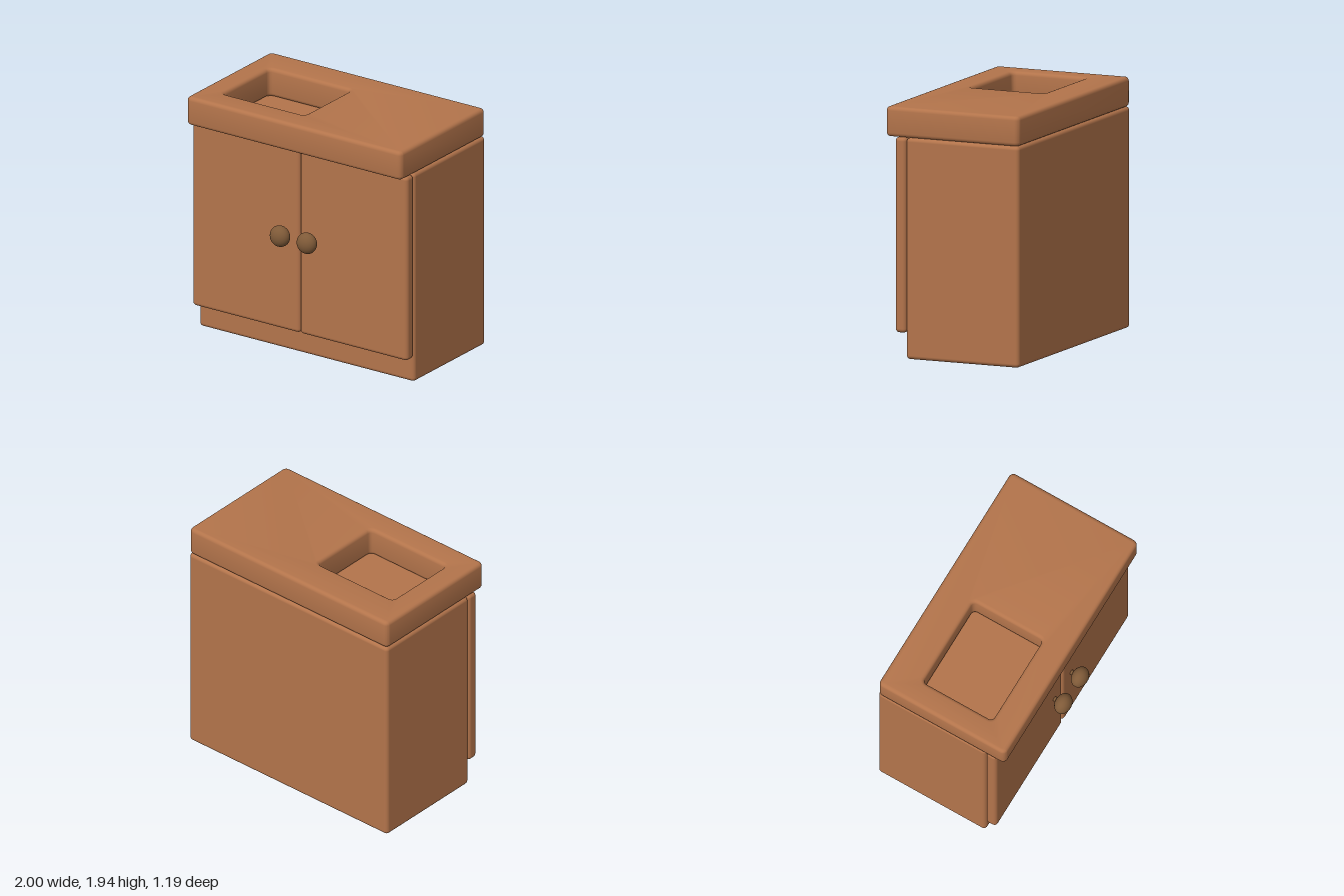
import * as THREE from 'three';
import { toCreasedNormals } from 'three/addons/utils/BufferGeometryUtils.js';
import { RoundedBoxGeometry } from 'three/addons/geometries/RoundedBoxGeometry.js';

const EDGE = 0.03; // radius of every softened edge

// Rounded rectangle outline
function roundedRect(path, x0, y0, x1, y1, r) {
  path.moveTo(x0 + r, y0);
  path.lineTo(x1 - r, y0);
  path.absarc(x1 - r, y0 + r, r, -Math.PI / 2, 0);
  path.lineTo(x1, y1 - r);
  path.absarc(x1 - r, y1 - r, r, 0, Math.PI / 2);
  path.lineTo(x0 + r, y1);
  path.absarc(x0 + r, y1 - r, r, Math.PI / 2, Math.PI);
  path.lineTo(x0, y0 + r);
  path.absarc(x0 + r, y0 + r, r, Math.PI, Math.PI * 1.5);
  return path;
}

export function createModel() {
  const wood = new THREE.MeshStandardMaterial({ color: 0xb3744b });
  wood.name = 'warm wood';
  const darkWood = new THREE.MeshStandardMaterial({ color: 0x7f5a38 });
  darkWood.name = 'dark wood';

  const model = new THREE.Group();
  model.name = 'sinkCabinet';

  function add(name, geometry, material, x, y, z, parent = model) {
    const mesh = new THREE.Mesh(geometry, material);
    mesh.name = name;
    mesh.position.set(x, y, z);
    parent.add(mesh);
    return mesh;
  }

  // Cabinet body
  add('cabinetBody', new RoundedBoxGeometry(2, 1.71, 0.95, 4, EDGE), wood, 0, 0.855, -0.118);

  // Countertop with a basin opening cut right through
  const top = roundedRect(new THREE.Shape(), -1, -0.53, 1, 0.593, 0.04);
  top.holes.push(roundedRect(new THREE.Path(), -0.81, -0.308, -0.053, 0.308, 0.035));
  const topGeometry = new THREE.ExtrudeGeometry(top, {
    depth: 0.23 - 2 * EDGE,
    bevelThickness: EDGE,
    bevelSize: EDGE,
    bevelOffset: -EDGE,
    bevelSegments: 4,
    curveSegments: 5,
  });
  topGeometry.rotateX(-Math.PI / 2);
  add('countertop', toCreasedNormals(topGeometry, 0.7), wood, 0, 1.71 + EDGE, 0);

  // Doors, each with a flattened round knob on a short stem
  for (const [side, s] of [['left', 1], ['right', -1]]) {
    const door = new THREE.Group();
    door.name = side + 'Door';
    model.add(door);
    add(side + 'DoorPanel', new RoundedBoxGeometry(1, 1.51, 0.093, 4, EDGE), wood, s * 0.5, 0.955, 0.4035, door);

    const stem = new THREE.CylinderGeometry(0.02, 0.02, 0.09, 16).rotateX(Math.PI / 2);
    add(side + 'KnobStem', stem, darkWood, s * 0.125, 0.998, 0.48, door);

    const knob = new THREE.SphereGeometry(0.084, 32, 20).scale(1, 1, 0.77);
    add(side + 'Knob', knob, darkWood, s * 0.125, 0.998, 0.53, door);
  }

  return model;
}
